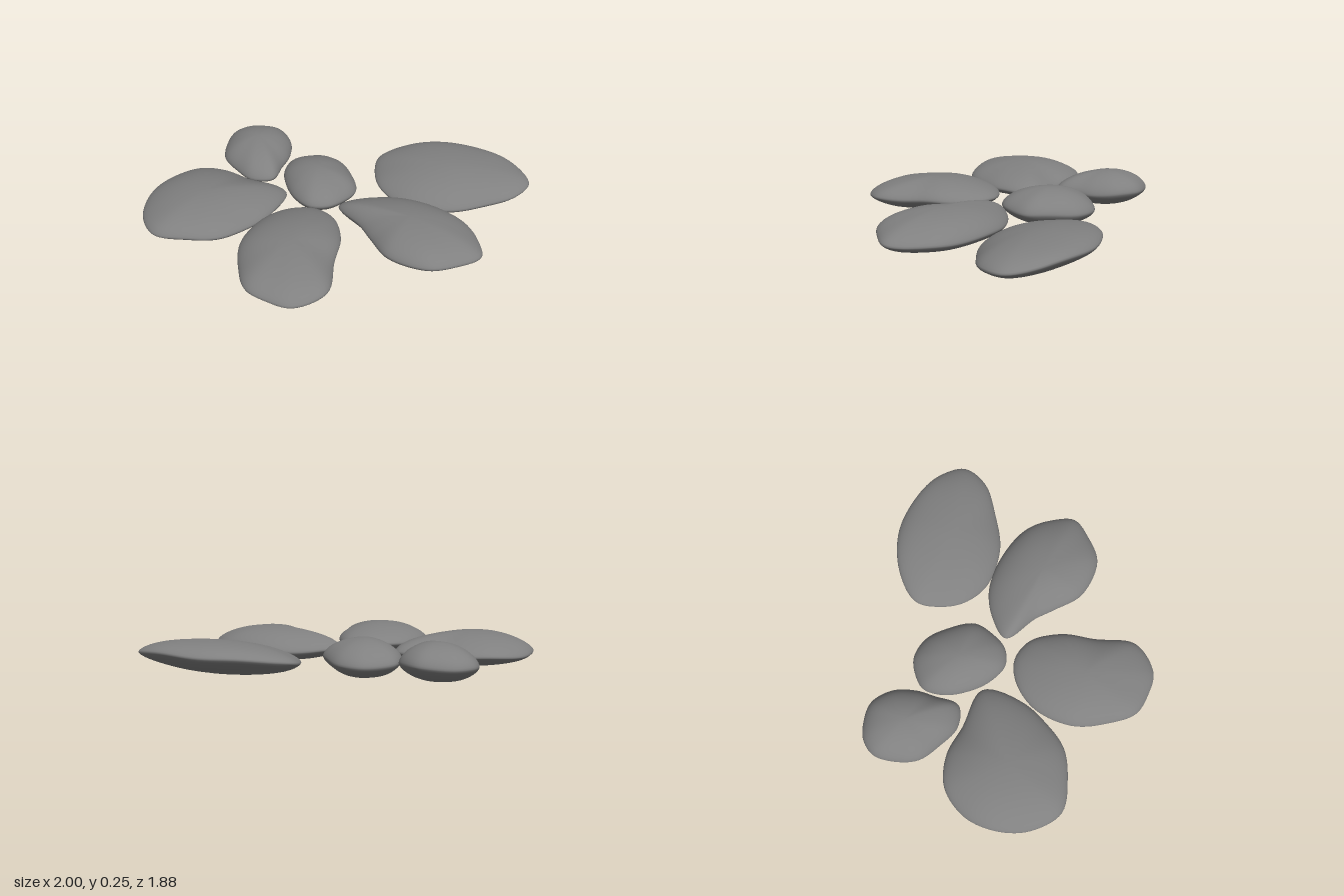
import * as THREE from 'three';

const SEGMENTS = 84;
const RINGS = 24;

// Plan outline: an ellipse turned by yaw, pushed in or out at twelve even steps
function stoneOutline({ x, z, length, width, yaw, bulges }) {
  const points = bulges.map((bulge, i) => {
    const t = (i / bulges.length) * Math.PI * 2;
    const along = length * bulge * Math.cos(t);
    const across = width * bulge * Math.sin(t);
    return new THREE.Vector3(
      x + along * Math.cos(yaw) - across * Math.sin(yaw), 0,
      z + along * Math.sin(yaw) + across * Math.cos(yaw));
  });
  return new THREE.CatmullRomCurve3(points, true).getPoints(SEGMENTS).slice(0, SEGMENTS);
}

// Flattened pebble: rings swept from the crown over the tilted rim to the underside
function stoneGeometry(stone) {
  const { x: cx, z: cz, rim, tilt, top, bottom } = stone;
  const edge = stoneOutline(stone);
  const positions = [cx, top, cz];
  const index = [];

  for (let i = 1; i < RINGS; i++) {
    const angle = (Math.PI * i) / RINGS;
    const r = Math.sin(angle);
    const c = Math.cos(angle);
    const rise = Math.pow(Math.abs(c), 1.25) * (c > 0 ? top - rim : bottom - rim);
    for (const p of edge) {
      const x = cx + (p.x - cx) * r;
      const z = cz + (p.z - cz) * r;
      // gentle waviness that fades out at the crown
      const wave = 0.007 * r * r * Math.sin(9 * x + 5 * z) * Math.cos(11 * z - 3 * x);
      positions.push(x, rim + rise + tilt * (z - cz) + wave, z);
    }
  }
  const last = positions.length / 3;
  positions.push(cx, bottom, cz);

  for (let j = 0; j < SEGMENTS; j++) {
    const k = (j + 1) % SEGMENTS;
    index.push(0, 1 + k, 1 + j);
    for (let i = 0; i < RINGS - 2; i++) {
      const a = 1 + i * SEGMENTS;
      const b = a + SEGMENTS;
      index.push(a + j, a + k, b + j, a + k, b + k, b + j);
    }
    index.push(last, last - SEGMENTS + j, last - SEGMENTS + k);
  }

  const geometry = new THREE.BufferGeometry();
  geometry.setAttribute('position', new THREE.Float32BufferAttribute(positions, 3));
  geometry.setIndex(index);
  geometry.computeVertexNormals();
  return geometry;
}

export function createModel() {
  const group = new THREE.Group();
  group.name = 'steppingStones';
  const stoneGrey = new THREE.MeshStandardMaterial({ color: 0x808080 });
  stoneGrey.name = 'stoneGrey';

  const addStone = (name, stone) => {
    const mesh = new THREE.Mesh(stoneGeometry(stone), stoneGrey);
    mesh.name = name;
    group.add(mesh);
  };

  // Long slab, its back edge raised
  addStone('backRightStone', {
    x: 0.5, z: -0.61, length: 0.5, width: 0.3, yaw: -0.35,
    rim: 0.125, tilt: -0.13, top: 0.225, bottom: 0.025,
    bulges: [1.02, 0.98, 0.93, 1.03, 1.03, 0.94, 0.92, 1.05, 1.11, 1.13, 1.02, 0.99],
  });
  // Slab pointed towards the middle
  addStone('rightStone', {
    x: 0.55, z: 0.01, length: 0.47, width: 0.29, yaw: 0,
    rim: 0.12, tilt: 0.02, top: 0.235, bottom: 0.025,
    bulges: [0.957, 0.93, 1.05, 0.96, 0.7, 0.68, 1.02, 0.97, 1, 0.99, 0.98, 0.92],
  });
  // Slab with a shoulder on its outer side
  addStone('frontStone', {
    x: 0.07, z: 0.54, length: 0.42, width: 0.28, yaw: 1.34,
    rim: 0.125, tilt: -0.03, top: 0.235, bottom: 0.035,
    bulges: [0.95, 0.97, 0.97, 1.1, 1.11, 1.04, 1.02, 1.01, 0.96, 0.92, 1.22, 1.1],
  });
  // Round slab with one corner towards the middle
  addStone('frontLeftStone', {
    x: -0.62, z: 0.4, length: 0.38, width: 0.38, yaw: 0.227,
    rim: 0.12, tilt: 0, top: 0.235, bottom: 0.035,
    bulges: [0.9, 0.9, 0.92, 1.07, 1.03, 1, 1.02, 1.03, 0.97, 0.95, 1.29, 1.05],
  });
  // Small humped stone
  addStone('backLeftStone', {
    x: -0.69, z: -0.25, length: 0.31, width: 0.24, yaw: 0.7,
    rim: 0.13, tilt: -0.05, top: 0.255, bottom: 0.035,
    bulges: [1.07, 1.04, 0.92, 0.95, 0.89, 0.89, 0.85, 0.85, 0.95, 0.92, 0.83, 0.82],
  });
  // Small oval stone, set lowest
  addStone('centreStone', {
    x: -0.19, z: -0.17, length: 0.31, width: 0.23, yaw: 0.785,
    rim: 0.11, tilt: 0.03, top: 0.23, bottom: 0.005,
    bulges: [0.93, 0.96, 0.9, 0.87, 0.92, 0.95, 0.9, 0.96, 1.01, 0.98, 1.04, 0.92],
  });
  return group;
}
